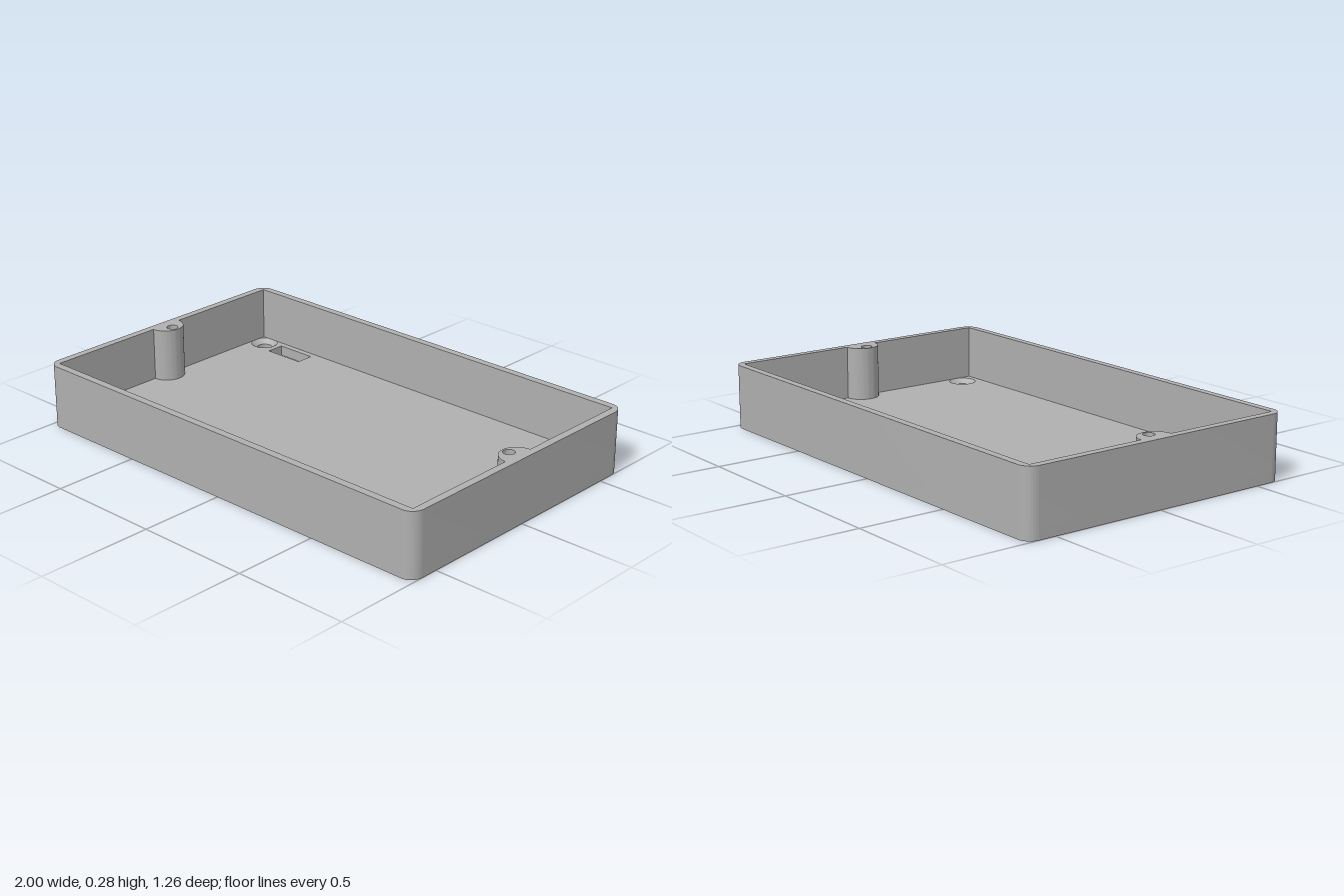
import * as THREE from 'three';
import { toCreasedNormals } from 'three/addons/utils/BufferGeometryUtils.js';

const W = 1, D = 0.63, H = 0.275;          // half width, half depth, height
const IW = 0.967, ID = 0.597;              // inner half sizes
const GROOVE = 0.025, FLOOR = 0.045;       // groove depth, floor top
const SCREWS = [[-0.912, -0.545], [0.909, -0.515], [0.909, 0.515]];

// Shapes are drawn in x and -z, then laid flat
function roundedRect(w, d, r) {
  const s = new THREE.Shape();
  s.absarc(w - r, d - r, r, 0, Math.PI / 2);
  s.absarc(r - w, d - r, r, Math.PI / 2, Math.PI);
  s.absarc(r - w, r - d, r, Math.PI, Math.PI * 1.5);
  s.absarc(w - r, r - d, r, Math.PI * 1.5, Math.PI * 2);
  s.closePath();
  return s;
}

function rectPath(x0, z0, x1, z1) {
  return new THREE.Path([[x0, -z0], [x1, -z0], [x1, -z1], [x0, -z1]].map(p => new THREE.Vector2(...p)));
}

function circlePath(x, z, r) {
  return new THREE.Path().absarc(x, -z, r, 0, Math.PI * 2, true);
}

// Cavity outline with a half-round boss on each short side
function cavityPath() {
  const p = new THREE.Path(), r = 0.074;
  p.moveTo(-IW, -ID);
  p.lineTo(IW, -ID);
  p.lineTo(IW, -r);
  p.absarc(IW, 0, r, Math.PI * 1.5, Math.PI / 2, true);
  p.lineTo(IW, ID);
  p.lineTo(-IW, ID);
  p.lineTo(-IW, r);
  p.absarc(-IW, 0, r, Math.PI / 2, -Math.PI / 2, true);
  p.closePath();
  return p;
}

export function createModel() {
  const model = new THREE.Group();
  const grey = new THREE.MeshStandardMaterial({ color: 0xb0b0b0, side: THREE.DoubleSide });
  grey.name = 'grey plastic';

  function addMesh(name, geometry) {
    const mesh = new THREE.Mesh(geometry, grey);
    mesh.name = name;
    model.add(mesh);
    return mesh;
  }

  function addLayer(name, shape, holes, y0, y1) {
    shape.holes.push(...holes);
    const g = new THREE.ExtrudeGeometry(shape, { depth: y1 - y0, bevelEnabled: false, curveSegments: 16 });
    g.rotateX(-Math.PI / 2).translate(0, y0, 0);
    addMesh(name, toCreasedNormals(g, 0.6));
  }

  const slot = () => rectPath(-0.829, -0.57, -0.644, -0.49);

  // Underside: thin outer rim, groove, raised base panel
  addLayer('bottomRim', roundedRect(W, D, 0.055),
    [rectPath(-W + 0.0165, -D + 0.0165, W - 0.0165, D - 0.0165)], 0, GROOVE);
  addLayer('basePanel', roundedRect(W - 0.034, D - 0.034, 0.004),
    [slot(), ...SCREWS.map(([x, z]) => circlePath(x, z, 0.034))], 0, GROOVE);

  // Floor with openings for the countersinks and the slot
  addLayer('floor', roundedRect(W, D, 0.055),
    [slot(), ...SCREWS.map(([x, z]) => circlePath(x, z, 0.059))], GROOVE, FLOOR);

  // Walls and screw bosses share a flush top
  addLayer('wallsAndBosses', roundedRect(W, D, 0.055),
    [cavityPath(), circlePath(-0.927, 0, 0.024), circlePath(0.925, 0, 0.024)], FLOOR, H);

  // Conical countersinks
  for (const [x, z] of SCREWS) {
    const cone = new THREE.LatheGeometry(
      [new THREE.Vector2(0.059, FLOOR), new THREE.Vector2(0.034, GROOVE)], 32);
    addMesh('countersink', cone).position.set(x, 0, z);
  }
  return model;
}
